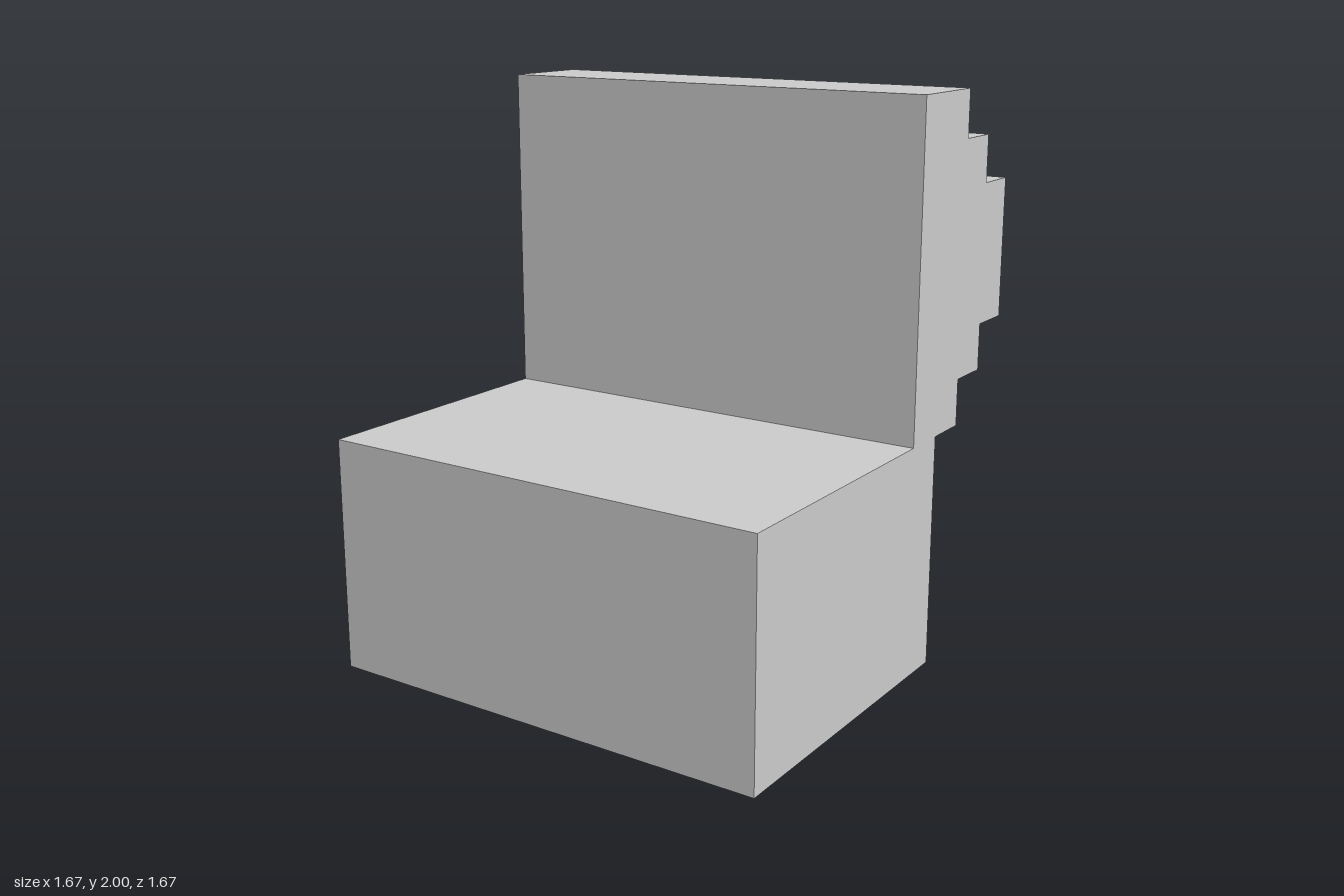
import * as THREE from 'three';

const U = 1 / 6; // every size is a whole number of these units
const WIDTH = 10 * U;

// Extrudes a side profile of [z, y] points (in units) across the full width
function sideExtrude(name, points, material) {
  const shape = new THREE.Shape(points.map(([z, y]) => new THREE.Vector2(z * U, y * U)));
  const geometry = new THREE.ExtrudeGeometry(shape, { depth: WIDTH, bevelEnabled: false });
  geometry.translate(0, 0, -WIDTH / 2).rotateY(-Math.PI / 2);
  const mesh = new THREE.Mesh(geometry, material);
  mesh.name = name;
  return mesh;
}

export function createModel() {
  const model = new THREE.Group();
  model.name = 'blockSeat';
  const material = new THREE.MeshStandardMaterial({ color: 0xcccccc, flatShading: true });

  // Solid seat block
  model.add(sideExtrude('seat', [[-2, 0], [5, 0], [5, 5], [-2, 5]], material));

  // Backrest: flat front, rear stepped out symmetrically above and below
  const lowerSteps = [[-3, 5], [-3, 6], [-4, 6], [-4, 7], [-5, 7]];
  const upperSteps = lowerSteps.map(([z, y]) => [z, 17 - y]).reverse();
  model.add(sideExtrude('backrest', [[-1, 12], [-1, 5], ...lowerSteps, ...upperSteps], material));

  return model;
}
